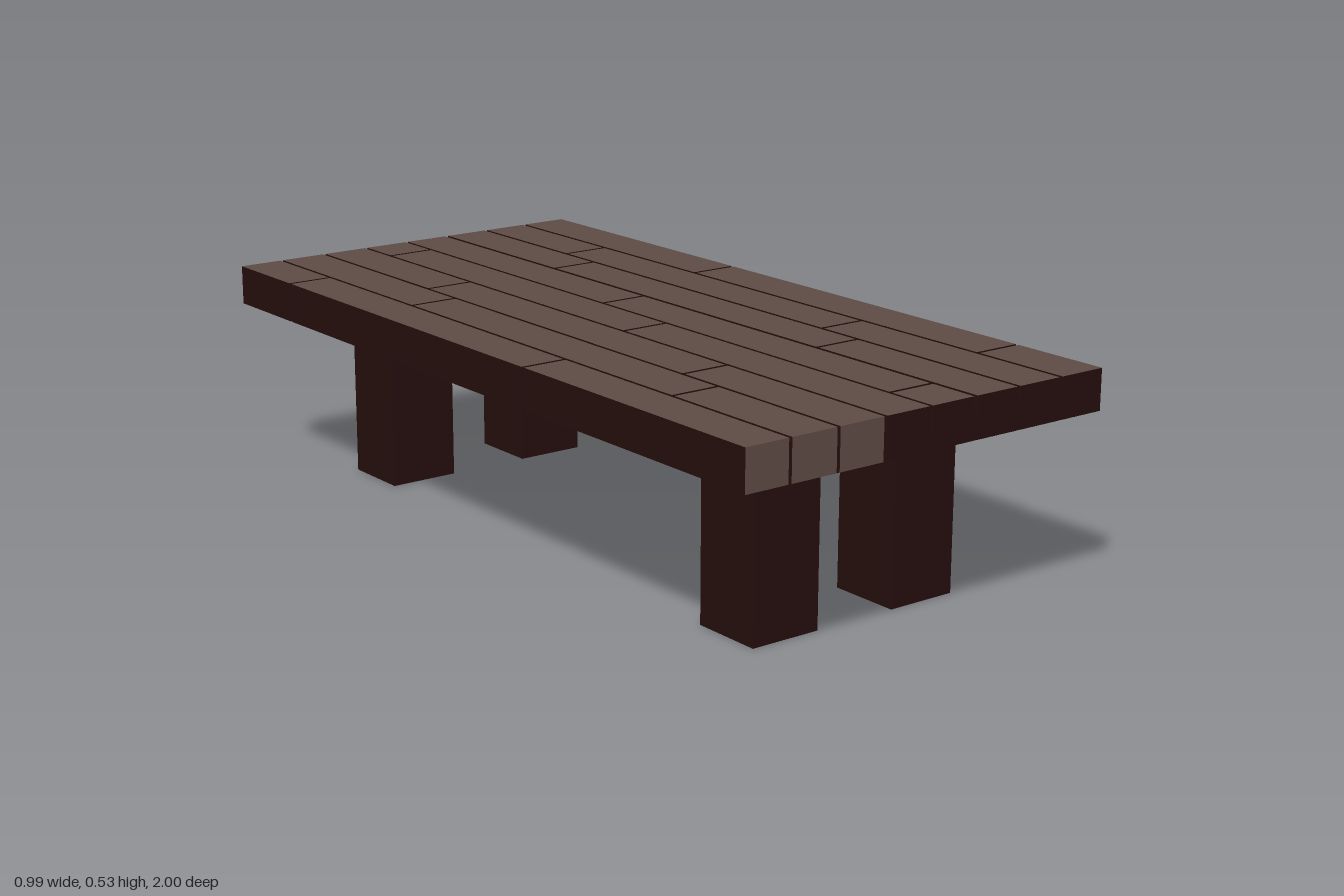
import * as THREE from 'three';

export function createModel() {
  const model = new THREE.Group();
  const wornWood = new THREE.MeshStandardMaterial({ color: 0x5d4a43 });
  wornWood.name = 'worn brown wood';
  const darkWood = new THREE.MeshStandardMaterial({ color: 0x240e0c });
  darkWood.name = 'dark wood';

  // Box given by its limits on each axis
  function addBox(name, x0, x1, y0, y1, z0, z1, material) {
    const mesh = new THREE.Mesh(new THREE.BoxGeometry(x1 - x0, y1 - y0, z1 - z0), material);
    mesh.position.set((x0 + x1) / 2, (y0 + y1) / 2, (z0 + z1) / 2);
    mesh.name = name;
    model.add(mesh);
  }

  // Core slab seen at the bottom of the gaps
  addBox('coreSlab', -0.49, 0.489, 0.43, 0.507, -0.997, 0.997, darkWood);

  // Plank rows: left edge, right edge and the z of the two staggered joints
  const rows = [
    [-0.495, -0.385, -0.755, 0.248],
    [-0.377, -0.260, -0.38, 0.622],
    [-0.252, -0.135, -0.505, 0.498],
    [-0.127, -0.010, -0.88, 0.12],
    [-0.002, 0.114, -0.128, 0.873],
    [0.124, 0.240, -0.505, 0.498],
    [0.249, 0.365, -0.628, 0.372],
    [0.374, 0.494, -0.253, 0.747],
  ];
  const halfGap = 0.0045;
  rows.forEach(([x0, x1, jointA, jointB], i) => {
    const stops = [-1, jointA, jointB, 1];
    for (let s = 0; s < 3; s++) {
      const z0 = stops[s] + (s > 0 ? halfGap : 0);
      const z1 = stops[s + 1] - (s < 2 ? halfGap : 0);
      // Pale top; some of the outer end faces are pale as well
      const frontEnd = s === 2 && i < 3 ? wornWood : darkWood;
      const backEnd = s === 0 && i < 6 ? wornWood : darkWood;
      addBox('plank', x0, x1, 0.431, 0.527, z0, z1,
        [darkWood, darkWood, wornWood, darkWood, frontEnd, backEnd]);
    }
  });

  // Four square legs
  for (const [x0, x1] of [[-0.29, -0.112], [0.1, 0.277]]) {
    for (const [z0, z1] of [[0.608, 0.785], [-0.805, -0.628]]) {
      addBox('leg', x0, x1, 0, 0.431, z0, z1, darkWood);
    }
  }
  return model;
}
